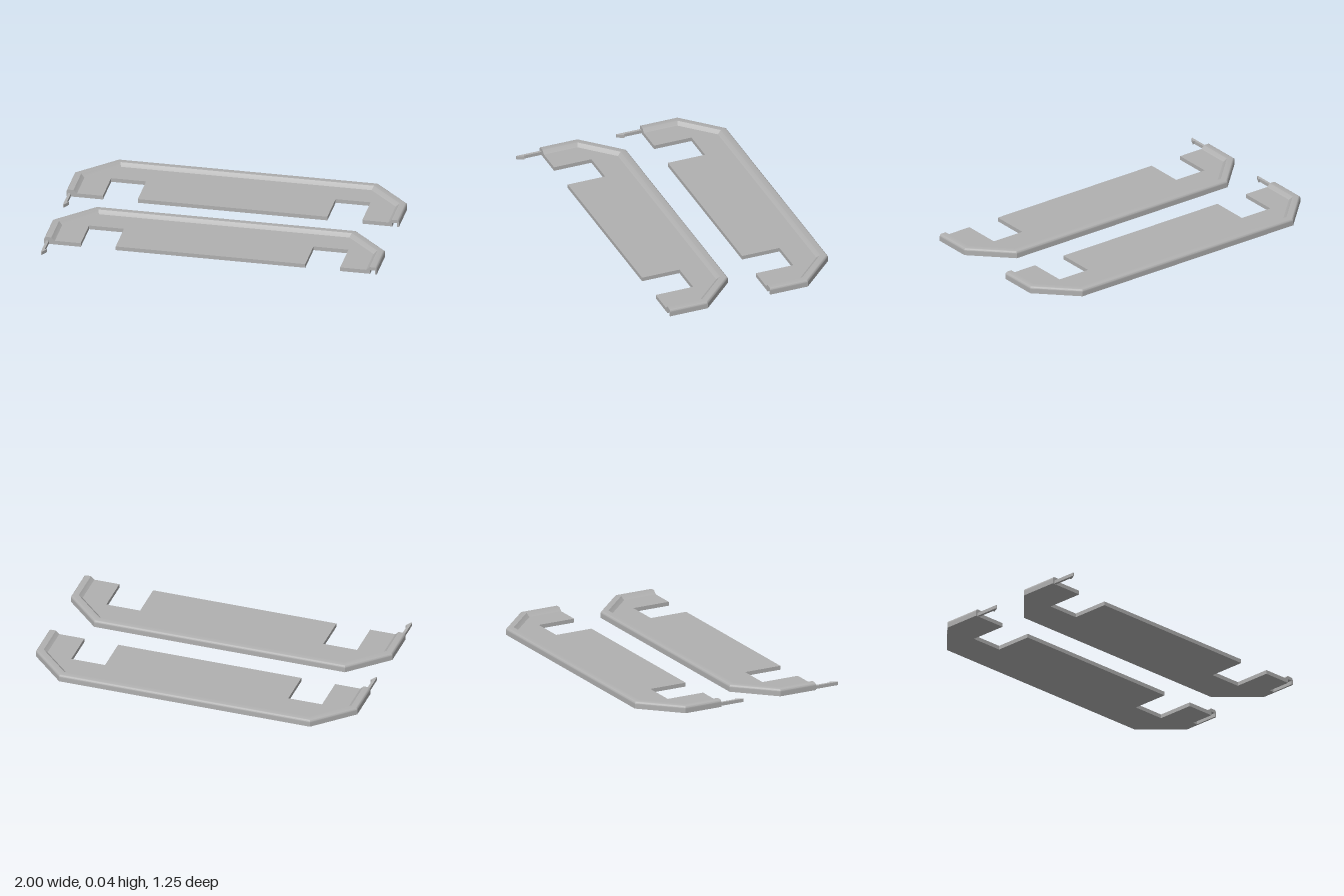
import * as THREE from 'three';
import { toCreasedNormals } from 'three/addons/utils/BufferGeometryUtils.js';

const FLOOR = 0.024, TOP = 0.044, DEPTH = 0.46;

// Flat slab from [x, z] outline points
function slab(points, y0, y1) {
  const shape = new THREE.Shape(points.map(([x, z]) => new THREE.Vector2(x, -z)));
  const geo = new THREE.ExtrudeGeometry(shape, { depth: y1 - y0, bevelEnabled: false });
  return geo.rotateX(-Math.PI / 2).translate(0, y0, 0);
}

// Raised lip swept around the back and sides with mitred corners
function rimGeometry() {
  const r = 0.015;
  const profile = [[0, FLOOR]]; // [inset, height]
  for (let k = 0; k <= 6; k++) {
    const a = (k / 6) * Math.PI / 2;
    profile.push([r - r * Math.cos(a), TOP - r + r * Math.sin(a)]);
  }
  profile.push([0.043, TOP], [0.052, 0.034], [0.064, FLOOR]);

  const t = Math.tan(Math.PI / 8);
  const section = (d) => [
    [-1 + d, DEPTH], [-1 + d, 0.22 + d * t], [-0.78 + d * t, d],
    [0.78 - d * t, d], [1 - d, 0.22 + d * t], [1 - d, DEPTH],
  ];
  const n = profile.length, pos = [], idx = [];
  for (let i = 0; i < 6; i++) {
    for (const [d, y] of profile) {
      const [x, z] = section(d)[i];
      pos.push(x, y, z);
    }
  }
  for (let i = 0; i < 5; i++) {
    for (let j = 0; j < n; j++) {
      const a = i * n + j, b = i * n + (j + 1) % n;
      idx.push(a, b, a + n, b, b + n, a + n);
    }
  }
  // End caps
  const e = 5 * n;
  for (let j = 1; j < n - 1; j++) idx.push(0, j + 1, j, e, e + j, e + j + 1);
  const geo = new THREE.BufferGeometry();
  geo.setAttribute('position', new THREE.Float32BufferAttribute(pos, 3));
  geo.setIndex(idx);
  return toCreasedNormals(geo, 0.4);
}

export function createModel() {
  const grey = new THREE.MeshStandardMaterial({ color: 0xb0b0b0 });
  grey.name = 'plain grey';

  // Base with two front cut-outs and a slot for the neighbouring clip
  const cut = 0.222;
  const base = slab([
    [-1, DEPTH], [-0.78, DEPTH], [-0.78, cut], [-0.57, cut], [-0.57, DEPTH],
    [0.57, DEPTH], [0.57, cut], [0.78, cut], [0.78, DEPTH],
    [0.96, DEPTH], [0.96, 0.31], [0.99, 0.31], [0.99, DEPTH], [1, DEPTH],
    [1, 0.22], [0.78, 0], [-0.78, 0], [-1, 0.22],
  ], 0, FLOOR);

  // Barbed clip arm
  const clip = slab([
    [-0.988, DEPTH], [-0.972, DEPTH], [-0.972, 0.573], [-0.96, 0.573],
    [-0.982, 0.616], [-0.988, 0.616],
  ], 0.002, 0.022);

  const parts = { base, rim: rimGeometry(), clip };
  const model = new THREE.Group();
  model.name = 'trayPair';
  [['backTray', -0.627], ['frontTray', 0.011]].forEach(([name, z]) => {
    const tray = new THREE.Group();
    tray.name = name;
    tray.position.z = z;
    for (const [part, geo] of Object.entries(parts)) {
      const mesh = new THREE.Mesh(geo, grey);
      mesh.name = part;
      tray.add(mesh);
    }
    model.add(tray);
  });
  return model;
}
